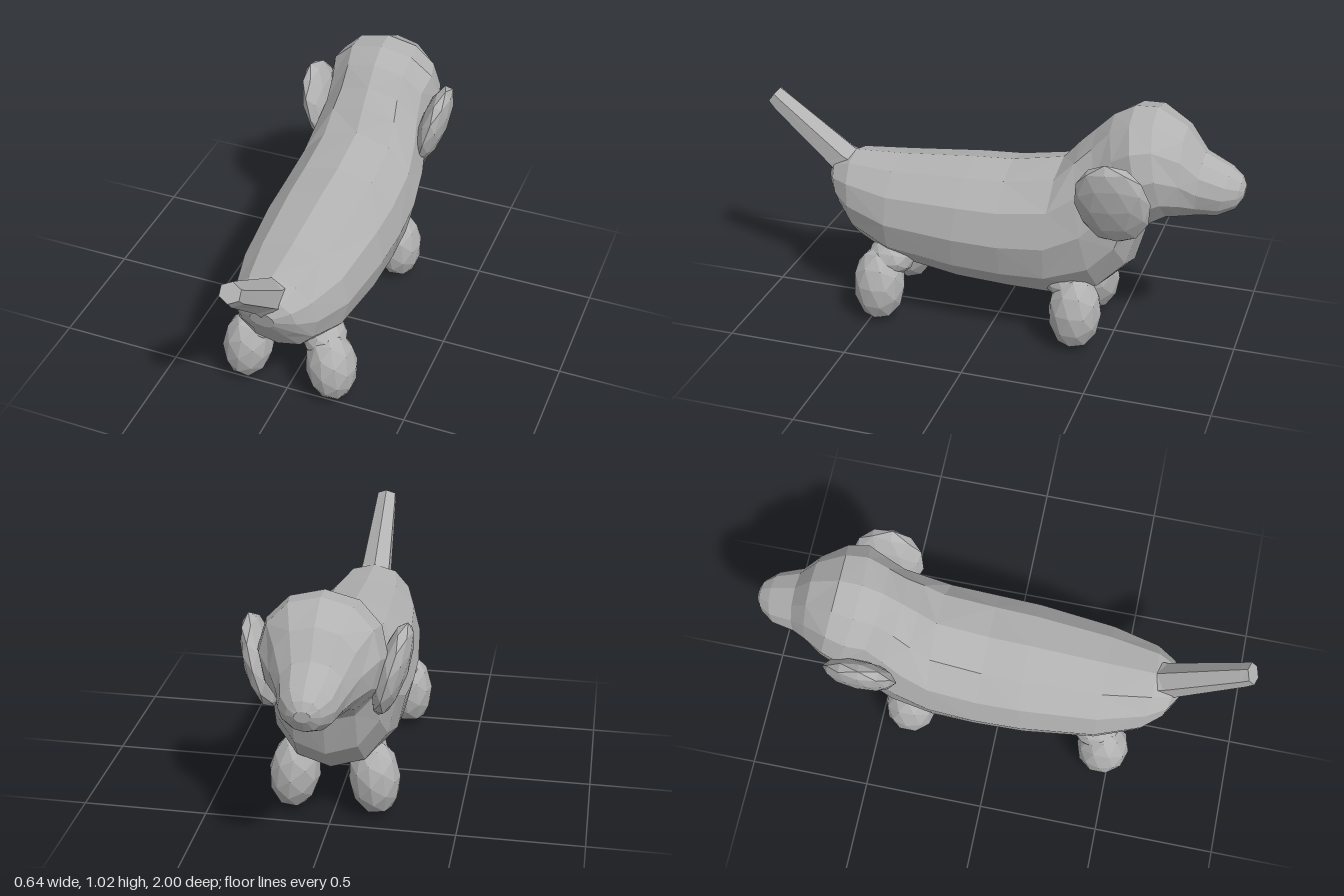
import * as THREE from 'three';

const coat = new THREE.MeshStandardMaterial({ color: 0xb2b2b2, flatShading: true });
coat.name = 'grey coat';

// Closed skin over tilted oval rings: [topZ, topY, bottomZ, bottomY, halfWidth], from tail end to nose end.
function loft(name, rings, sides, power = 1) {
  const pos = [], index = [];
  const round = (v) => Math.sign(v) * Math.abs(v) ** power;
  rings.forEach(([tz, ty, bz, by, w]) => {
    for (let j = 0; j < sides; j++) {
      const a = (j / sides) * Math.PI * 2;
      const t = Math.cos(a);
      pos.push(w * round(Math.sin(a)), (ty + by) / 2 + ((ty - by) / 2) * t, (tz + bz) / 2 + ((tz - bz) / 2) * t);
    }
  });
  for (let i = 0; i < rings.length - 1; i++) {
    for (let j = 0; j < sides; j++) {
      const k = (j + 1) % sides;
      const a = i * sides + j, b = i * sides + k, c = a + sides, d = b + sides;
      // alternate the diagonals for a faceted look
      if ((i + j) % 2) index.push(a, b, c, b, d, c);
      else index.push(a, b, d, a, d, c);
    }
  }
  // end caps
  const last = (rings.length - 1) * sides;
  for (let j = 1; j < sides - 1; j++) {
    index.push(0, j + 1, j);
    index.push(last, last + j, last + j + 1);
  }
  const g = new THREE.BufferGeometry();
  g.setAttribute('position', new THREE.Float32BufferAttribute(pos, 3));
  g.setIndex(index);
  g.computeVertexNormals();
  const mesh = new THREE.Mesh(g, coat);
  mesh.name = name;
  return mesh;
}

function blob(name, size, at, tilt = [0, 0, 0]) {
  const g = new THREE.IcosahedronGeometry(1, 1);
  g.scale(...size);
  const mesh = new THREE.Mesh(g, coat);
  mesh.name = name;
  mesh.position.set(...at);
  mesh.rotation.set(...tilt);
  return mesh;
}

export function createModel() {
  const dog = new THREE.Group();
  dog.name = 'dog';

  // rump, long trunk, chest and neck
  dog.add(loft('body', [
    [0.73, 0.58, 0.71, 0.50, 0.05],
    [0.70, 0.63, 0.65, 0.41, 0.12],
    [0.62, 0.67, 0.58, 0.31, 0.175],
    [0.42, 0.68, 0.42, 0.235, 0.232],
    [0.10, 0.71, 0.14, 0.195, 0.265],
    [-0.06, 0.72, -0.08, 0.185, 0.27],
    [-0.27, 0.76, -0.25, 0.18, 0.265],
    [-0.34, 0.84, -0.46, 0.235, 0.25],
    [-0.40, 0.90, -0.575, 0.35, 0.23],
    [-0.47, 0.97, -0.62, 0.51, 0.225],
  ], 12, 0.9));

  // skull tapering into the muzzle
  dog.add(loft('head', [
    [-0.47, 0.97, -0.62, 0.51, 0.225],
    [-0.55, 1.015, -0.67, 0.56, 0.245],
    [-0.64, 1.02, -0.72, 0.59, 0.225],
    [-0.76, 0.955, -0.77, 0.59, 0.17],
    [-0.835, 0.855, -0.82, 0.60, 0.13],
    [-0.94, 0.805, -0.90, 0.608, 0.105],
    [-0.985, 0.77, -0.965, 0.64, 0.065],
    [-1.0, 0.735, -0.995, 0.69, 0.03],
  ], 12, 0.9));

  // raised tail, running from the tip into the rump
  dog.add(loft('tail', [
    [0.95, 0.905, 1.0, 0.84, 0.045],
    [0.92, 0.885, 0.97, 0.80, 0.048],
    [0.62, 0.67, 0.77, 0.61, 0.068],
    [0.46, 0.64, 0.66, 0.48, 0.08],
  ], 6));

  for (const s of [1, -1]) {
    // drooping ears, leaning out at the top
    dog.add(blob('ear', [0.058, 0.19, 0.15], [s * 0.25, 0.705, -0.53], [0.12, 0, -s * 0.27]));

    // stubby legs with a small joint tucked under the belly
    for (const [part, x, z] of [['frontLeg', 0.16, -0.37], ['backLeg', 0.18, 0.465]]) {
      const leg = new THREE.Group();
      leg.name = part;
      leg.add(blob('foot', [0.104, 0.162, 0.11], [s * x, 0.16, z], [0, 0, s * 0.12]));
      leg.add(blob('hip', [0.09, 0.08, 0.1], [s * (x - 0.045), 0.27, z - Math.sign(z) * 0.04]));
      dog.add(leg);
    }
  }
  return dog;
}
